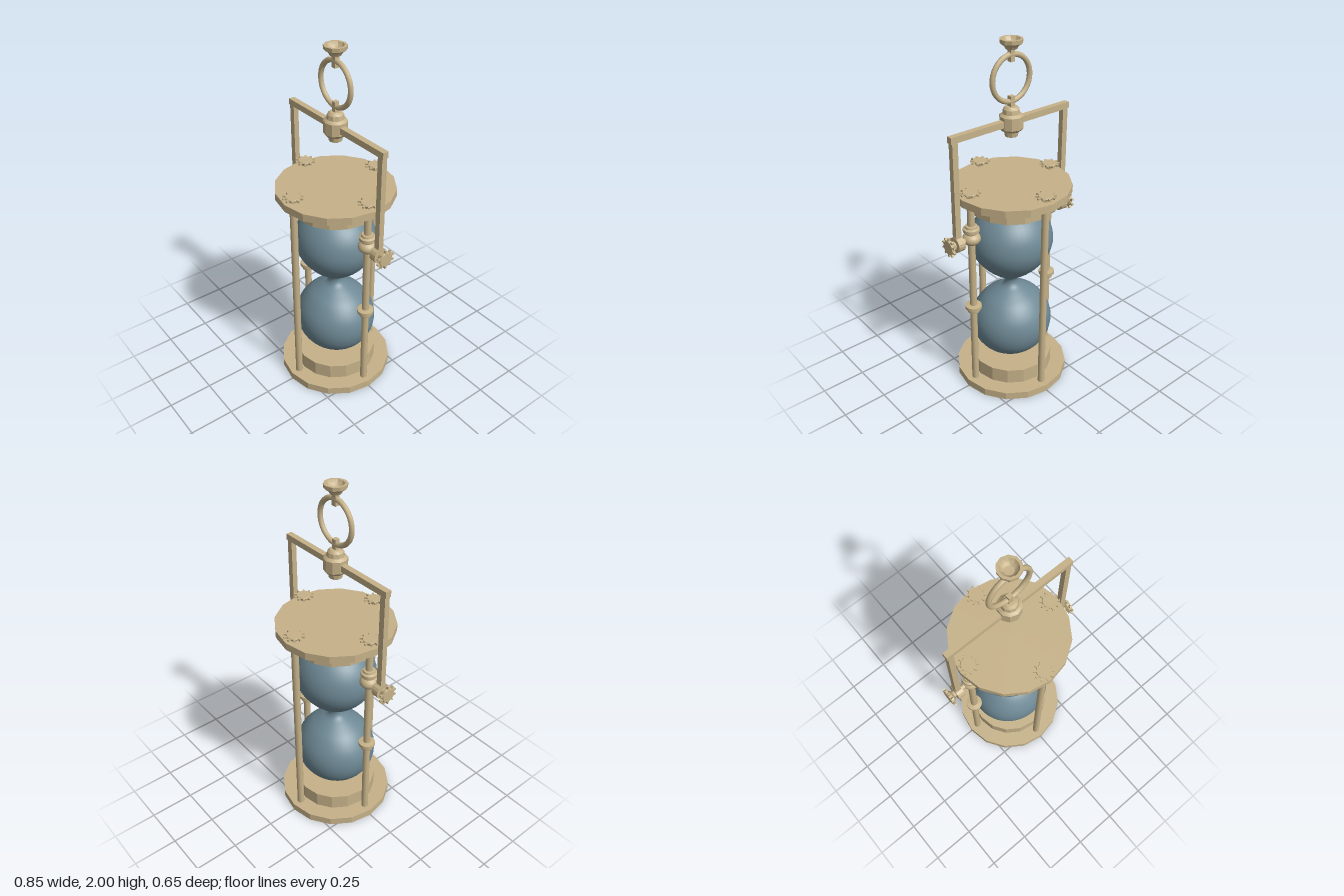
import * as THREE from 'three';
import { toCreasedNormals } from 'three/addons/utils/BufferGeometryUtils.js';

const brass = new THREE.MeshStandardMaterial({ color: 0xc6b289 });
brass.name = 'brass';
const glass = new THREE.MeshStandardMaterial({ color: 0x6e8995 });
glass.name = 'blue glass';

const POST = 0.272; // distance of each post from the axis
const PIVOT = 0.99; // height of the handle pivots

function add(parent, name, geometry, material, x = 0, y = 0, z = 0) {
  const mesh = new THREE.Mesh(geometry, material);
  mesh.name = name;
  mesh.position.set(x, y, z);
  parent.add(mesh);
  return mesh;
}

const vectors = (pairs) => pairs.map(([r, y]) => new THREE.Vector2(r, y));
const turned = (pairs, sides) => toCreasedNormals(new THREE.LatheGeometry(vectors(pairs), sides), 0.5);
const drum = (r, h, sides) => toCreasedNormals(new THREE.CylinderGeometry(r, r, h, sides), 0.3);

// Flared thumbscrew along +y with a ring of ten small teeth
function makeKnob(name) {
  const knob = new THREE.Group();
  knob.name = name;
  add(knob, 'knobBody', turned([[0, 0], [0.02, 0], [0.021, 0.009], [0.038, 0.018], [0.041, 0.026], [0.038, 0.032], [0, 0.032]], 20), brass);
  const star = new THREE.Shape();
  const steps = [[-0.2, 0.038], [-0.12, 0.042], [-0.09, 0.055], [0.09, 0.055], [0.12, 0.042], [0.2, 0.038]];
  for (let i = 0; i < 10; i++) {
    for (const [offset, r] of steps) {
      const a = (i * Math.PI) / 5 + offset;
      const p = [Math.cos(a) * r, Math.sin(a) * r];
      if (i === 0 && offset === -0.2) star.moveTo(...p);
      else star.lineTo(...p);
    }
  }
  const teeth = new THREE.ExtrudeGeometry(star, { depth: 0.01, bevelEnabled: false });
  teeth.rotateX(-Math.PI / 2);
  add(knob, 'knobTeeth', teeth, brass, 0, 0.02, 0);
  return knob;
}

export function createModel() {
  const model = new THREE.Group();
  model.name = 'hangingHourglass';

  // End plates and the sockets that hold the glass
  add(model, 'basePlate', drum(0.325, 0.045, 16), brass, 0, 0.0225, 0);
  add(model, 'topPlate', drum(0.325, 0.042, 16), brass, 0, 1.212, 0);
  add(model, 'lowerSocket', drum(0.236, 0.09, 16), brass, 0, 0.09, 0);
  add(model, 'upperSocket', drum(0.236, 0.088, 16), brass, 0, 1.148, 0);

  // Double glass bulb
  const profile = new THREE.SplineCurve(vectors([
    [0, 0.135], [0.085, 0.15], [0.165, 0.198], [0.218, 0.27], [0.236, 0.355],
    [0.218, 0.438], [0.165, 0.512], [0.1, 0.558], [0.05, 0.588], [0.036, 0.622],
    [0.055, 0.655], [0.11, 0.69], [0.17, 0.745], [0.218, 0.815], [0.236, 0.89],
    [0.218, 0.975], [0.165, 1.048], [0.085, 1.094], [0, 1.108],
  ]));
  const bulb = add(model, 'glassBulbs', new THREE.LatheGeometry(profile.getPoints(72), 40), glass);
  bulb.scale.z = 0.955;

  // Four posts, each topped with a knob
  for (let i = 0; i < 4; i++) {
    const a = (i * Math.PI) / 2;
    const x = Math.round(Math.cos(a)) * POST;
    const z = Math.round(Math.sin(a)) * POST;
    add(model, 'post', new THREE.CylinderGeometry(0.02, 0.02, 1.16, 12), brass, x, 0.62, z);
    const knob = makeKnob('postKnob');
    knob.position.set(x, 1.233, z);
    model.add(knob);
  }

  // Collars, pivots and handle arms on both sides
  for (const side of [1, -1]) {
    const arm = new THREE.Group();
    arm.name = side > 0 ? 'leftArm' : 'rightArm';
    add(arm, 'postCollar', turned([[0.02, 0.517], [0.034, 0.52], [0.036, 0.54], [0.046, 0.543], [0.046, 0.562], [0.02, 0.566]], 16), brass, side * POST, 0, 0);
    const ball = add(arm, 'pivotBall', new THREE.SphereGeometry(0.05, 20, 12), brass, side * POST, PIVOT, 0);
    ball.scale.y = 0.75;
    add(arm, 'pivotCollar', turned([[0.02, 1.018], [0.034, 1.022], [0.036, 1.032], [0.045, 1.035], [0.045, 1.052], [0.034, 1.058], [0.032, 1.068], [0.02, 1.07]], 16), brass, side * POST, 0, 0);
    const axle = add(arm, 'pivotAxle', new THREE.CylinderGeometry(0.016, 0.016, 0.11, 12), brass, side * 0.335, PIVOT, 0);
    axle.rotation.z = Math.PI / 2;
    const boss = add(arm, 'armBoss', drum(0.043, 0.041, 16), brass, side * 0.361, PIVOT, 0);
    boss.rotation.z = Math.PI / 2;
    const knob = makeKnob('armKnob');
    knob.position.set(side * 0.381, PIVOT, 0);
    knob.rotation.z = (-side * Math.PI) / 2;
    knob.scale.y = 1.35;
    arm.add(knob);
    add(arm, 'armUpright', new THREE.BoxGeometry(0.033, 0.56, 0.03), brass, side * 0.363, 1.285, 0);
    model.add(arm);
  }

  // Crossbar with its turned hub
  add(model, 'crossbar', new THREE.BoxGeometry(0.772, 0.034, 0.033), brass, 0, 1.576, 0);
  add(model, 'crossbarHub', turned([
    [0, 1.5], [0.035, 1.5], [0.039, 1.525], [0.05, 1.53], [0.063, 1.545],
    [0.063, 1.61], [0.047, 1.622], [0.043, 1.645], [0.03, 1.658], [0, 1.66],
  ], 10), brass);
  add(model, 'lowerRingLug', new THREE.BoxGeometry(0.026, 0.06, 0.026), brass, 0, 1.683, 0);

  // Hanging ring and its cupped ceiling mount
  add(model, 'hangingRing', new THREE.TorusGeometry(0.119, 0.014, 10, 40), brass, 0, 1.803, 0);
  add(model, 'upperRingLug', new THREE.BoxGeometry(0.026, 0.075, 0.026), brass, 0, 1.925, 0);
  add(model, 'ceilingCup', turned([
    [0, 1.948], [0.03, 1.95], [0.038, 1.966], [0.058, 1.98], [0.06, 2],
    [0.046, 2], [0.038, 1.984], [0.024, 1.972], [0, 1.97],
  ], 10), brass);

  return model;
}
